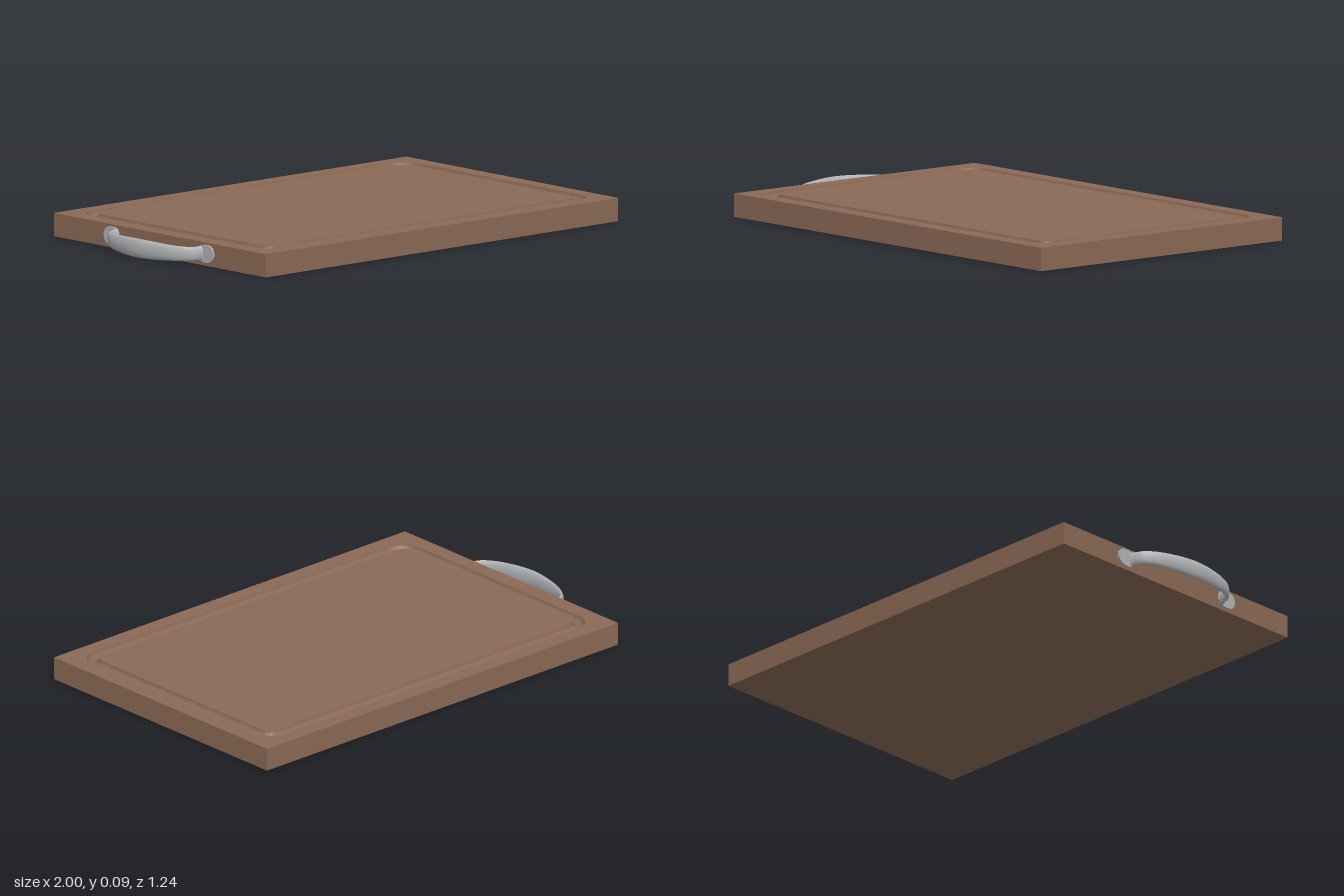
import * as THREE from 'three';
import { mergeGeometries, toCreasedNormals } from 'three/addons/utils/BufferGeometryUtils.js';

const X0 = -0.87, X1 = 1, HALF_Z = 0.621, TOP = 0.093, MID_X = (X0 + X1) / 2;

// Counter-clockwise rounded rectangle as points
function roundedRect(hx, hy, r, cx = 0, cy = 0, steps = 10) {
  const pts = [];
  [[1, 1], [-1, 1], [-1, -1], [1, -1]].forEach(([sx, sy], k) => {
    for (let i = 0; i <= steps; i++) {
      const a = (k + i / steps) * Math.PI / 2;
      pts.push(new THREE.Vector2(cx + sx * (hx - r) + r * Math.cos(a), cy + sy * (hy - r) + r * Math.sin(a)));
    }
  });
  return pts;
}

// Skin a list of closed rings of Vector3
function loft(rings) {
  const n = rings[0].length, index = [];
  for (let i = 0; i < rings.length - 1; i++) {
    for (let j = 0; j < n; j++) {
      const k = (j + 1) % n;
      const a = i * n + j, b = i * n + k, c = b + n, d = a + n;
      index.push(a, b, c, a, c, d);
    }
  }
  const g = new THREE.BufferGeometry().setFromPoints(rings.flat());
  g.setIndex(index);
  g.computeVertexNormals();
  return g;
}

function plain(g) {
  const out = g.index ? g.toNonIndexed() : g;
  out.deleteAttribute('uv');
  return out;
}

function boardGeometry() {
  // Slab sides and bottom, the top face is built separately
  const slab = new THREE.BoxGeometry(X1 - X0, TOP, HALF_Z * 2);
  const idx = Array.from(slab.index.array);
  idx.splice(12, 6);
  slab.setIndex(idx);
  slab.translate(MID_X, TOP / 2, 0);

  // Rounded loop at an offset from the middle of the juice groove
  const loop = (t) => roundedRect(0.845 + t, 0.531 + t, 0.065 + t, MID_X);
  const w = 0.024, depth = 0.022;
  const lay = (shape) => new THREE.ShapeGeometry(shape).rotateX(-Math.PI / 2).translate(0, TOP, 0);

  const rim = new THREE.Shape([[X0, -HALF_Z], [X1, -HALF_Z], [X1, HALF_Z], [X0, HALF_Z]]
    .map(([x, y]) => new THREE.Vector2(x, y)));
  rim.holes.push(new THREE.Path(loop(w)));

  // Half-round groove between rim and cutting surface
  const rings = [];
  for (let i = 0; i <= 10; i++) {
    const a = i / 10 * Math.PI;
    rings.push(loop(w * Math.cos(a)).map((p) => new THREE.Vector3(p.x, TOP - depth * Math.sin(a), -p.y)));
  }
  const parts = [slab, lay(rim), lay(new THREE.Shape(loop(-w))), loft(rings)].map(plain);
  return toCreasedNormals(mergeGeometries(parts), 0.6);
}

function gripGeometry() {
  const half = [[-0.872, 0.25], [-0.895, 0.246], [-0.916, 0.238], [-0.938, 0.215], [-0.958, 0.175], [-0.977, 0.095]];
  const points = [...half, [-0.986, 0], ...half.map(([x, z]) => [x, -z]).reverse()];
  const curve = new THREE.CatmullRomCurve3(points.map(([x, z]) => new THREE.Vector3(x, 0.049, z)));
  const up = new THREE.Vector3(0, 1, 0), rings = [];
  const STEPS = 72, SIDES = 20;
  for (let i = 0; i <= STEPS; i++) {
    const t = i / STEPS, p = curve.getPointAt(t);
    const normal = new THREE.Vector3().crossVectors(up, curve.getTangentAt(t)).normalize();
    // Widest at the middle, slim at the necks, flared into the mounts
    const mid = Math.sin(Math.PI * t) ** 2;
    const flare = Math.max(0, 1 - Math.min(t, 1 - t) / 0.06) ** 2;
    const height = 0.027 + 0.011 * mid + 0.005 * flare;
    const thick = 0.009 + 0.005 * mid + 0.006 * flare;
    const ring = [];
    for (let j = 0; j < SIDES; j++) {
      const a = j / SIDES * Math.PI * 2;
      ring.push(p.clone().addScaledVector(normal, thick * Math.cos(a)).addScaledVector(up, height * Math.sin(a)));
    }
    rings.push(ring);
  }
  return loft(rings);
}

export function createModel() {
  const wood = new THREE.MeshStandardMaterial({ color: 0x8b6a56 });
  wood.name = 'brown wood';
  const metal = new THREE.MeshStandardMaterial({ color: 0xb2b3b5 });
  metal.name = 'grey metal';

  const model = new THREE.Group();
  model.name = 'cuttingBoard';
  const add = (parent, name, geometry, material) => {
    const mesh = new THREE.Mesh(geometry, material);
    mesh.name = name;
    parent.add(mesh);
    return mesh;
  };
  add(model, 'board', boardGeometry(), wood);

  // Handle on the short side, with a mounting plate at each end
  const handle = new THREE.Group();
  handle.name = 'handle';
  add(handle, 'grip', gripGeometry(), metal);
  const plate = new THREE.ExtrudeGeometry(new THREE.Shape(roundedRect(0.043, 0.035, 0.033)),
    { depth: 0.009, bevelEnabled: false }).rotateY(-Math.PI / 2);
  const plateGeometry = toCreasedNormals(plate, 0.6);
  for (const s of [1, -1]) {
    add(handle, s > 0 ? 'frontMount' : 'backMount', plateGeometry, metal).position.set(X0 + 0.001, 0.049, s * 0.277);
  }
  model.add(handle);
  return model;
}
